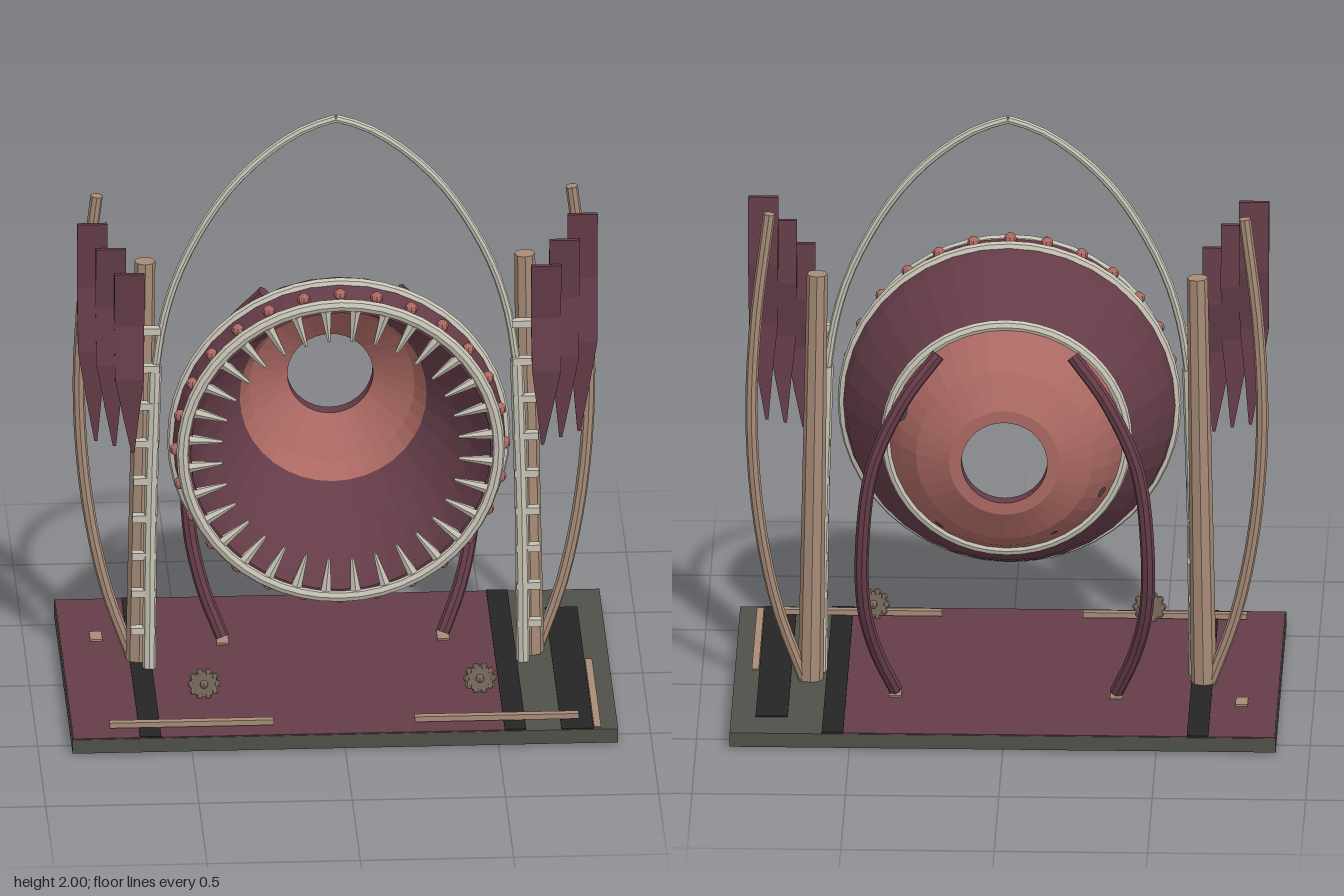
import * as THREE from 'three';

const mat = (name, color) => new THREE.MeshStandardMaterial({ name, color, flatShading: true, side: THREE.DoubleSide });
const M = {
  maroon: mat('maroon', 0x643c48),
  coral: mat('coral', 0xab6862),
  silver: mat('silver', 0xc6c2b5),
  tan: mat('tan', 0xa68b77),
  grey: mat('stone grey', 0x50504a),
  black: mat('black', 0x252525),
  bronze: mat('bronze', 0x7b6c5e),
};
const V = (p) => new THREE.Vector3(...p);

export function createModel() {
  const model = new THREE.Group();
  model.name = 'model';
  const add = (name, geo, material, pos = [0, 0, 0], parent = model) => {
    const mesh = new THREE.Mesh(geo, material);
    mesh.name = name;
    mesh.position.set(...pos);
    parent.add(mesh);
    return mesh;
  };
  // box given by its limits on each axis
  const slab = (name, material, x0, x1, y0, y1, z0, z1, parent) =>
    add(name, new THREE.BoxGeometry(x1 - x0, y1 - y0, z1 - z0), material,
      [(x0 + x1) / 2, (y0 + y1) / 2, (z0 + z1) / 2], parent);
  const tube = (name, material, pts, r, segs = 16, sides = 8) => {
    const curve = new THREE.CatmullRomCurve3(pts.map(V));
    add(name, new THREE.TubeGeometry(curve, segs, r, sides), material);
    // end caps
    for (const t of [0, 1]) {
      const cap = add(name + 'Cap', new THREE.CircleGeometry(r, sides), material, curve.getPoint(t).toArray());
      cap.lookAt(cap.position.clone().add(curve.getTangent(t)));
    }
  };

  // base plate with painted floor panels and skids below
  slab('base', M.grey, -0.89, 0.89, 0.005, 0.053, -0.58, 0.58);
  slab('floorPanel', M.maroon, -0.887, 0.52, 0.05, 0.056, -0.577, 0.577);
  slab('floorStripe', M.black, -0.67, -0.60, 0.052, 0.059, -0.577, 0.577);
  slab('floorStripe', M.black, 0.52, 0.59, 0.052, 0.059, -0.577, 0.577);
  slab('floorStripe', M.black, 0.705, 0.81, 0.05, 0.056, -0.43, 0.577);
  slab('floorTrim', M.tan, 0.812, 0.835, 0.05, 0.056, 0.0, 0.565);
  for (const [x, z] of [[-0.77, -0.26], [-0.36, -0.21], [0.36, -0.21]])
    slab('floorPlate', M.tan, x - 0.02, x + 0.02, 0.055, 0.062, z - 0.035, z + 0.035);

  // round vessel, turned about the z axis
  const vessel = new THREE.Group();
  vessel.name = 'vessel';
  vessel.position.y = 0.935;
  model.add(vessel);
  const turned = (name, material, pts) => {
    const geo = new THREE.LatheGeometry(pts.map(([r, z]) => new THREE.Vector2(r, z)), 36);
    geo.rotateX(Math.PI / 2);
    add(name, geo, material, [0, 0, 0], vessel);
  };
  turned('outerShell', M.maroon, [[0.385, -0.17], [0.44, -0.08], [0.49, 0.0], [0.53, 0.09], [0.545, 0.165], [0.525, 0.29], [0.49, 0.295]]);
  turned('innerShell', M.maroon, [[0.49, 0.295], [0.475, 0.2], [0.44, 0.08], [0.38, -0.05], [0.305, -0.17]]);
  turned('outerBack', M.coral, [[0.385, -0.17], [0.345, -0.25], [0.29, -0.33], [0.18, -0.4], [0.14, -0.4]]);
  turned('innerBack', M.coral, [[0.305, -0.17], [0.27, -0.25], [0.14, -0.35]]);
  turned('backHole', M.maroon, [[0.14, -0.35], [0.14, -0.4]]);
  for (const [r, z, t] of [[0.515, 0.288, 0.021], [0.54, 0.165, 0.02], [0.39, -0.165, 0.02]])
    add('ring', new THREE.TorusGeometry(r, t, 8, 48), M.silver, [0, 0, z], vessel);

  // inward teeth around the mouth
  const tooth = new THREE.CylinderGeometry(0.006, 0.019, 0.11, 6);
  for (let i = 0; i < 32; i++) {
    const a = ((i + 0.5) / 32) * Math.PI * 2;
    const m = add('tooth', tooth, M.silver, [0.442 * Math.cos(a), 0.442 * Math.sin(a), 0.285], vessel);
    m.rotation.z = a + Math.PI / 2;
  }
  // beads behind the front ring
  const bead = new THREE.SphereGeometry(0.021, 8, 6);
  for (let i = 0; i < 28; i++) {
    const a = (i / 28) * Math.PI * 2;
    add('bead', bead, M.coral, [0.535 * Math.cos(a), 0.535 * Math.sin(a), 0.25], vessel);
  }
  // worn patches on the back shell
  for (const [a, r, z, s] of [[0.33, 0.356, -0.23, 0.038], [-0.9, 0.345, -0.25, 0.018], [3.6, 0.345, -0.25, 0.02], [4.2, 0.32, -0.29, 0.014]]) {
    const p = add('wornPatch', new THREE.CircleGeometry(s, 9), M.grey, [(r + 0.004) * Math.cos(a), (r + 0.004) * Math.sin(a), z], vessel);
    p.lookAt(p.getWorldPosition(new THREE.Vector3()).add(V([Math.cos(a), Math.sin(a), -0.58])));
  }

  // pointed arch over the vessel
  const arc = [[0.59, 1.1], [0.565, 1.27], [0.52, 1.43], [0.44, 1.6], [0.34, 1.75], [0.22, 1.87], [0.1, 1.95], [0, 1.985]];
  for (const s of [-1, 1]) {
    tube('arch', M.silver, arc.map(([x, y]) => [s * x, y, -0.01]), 0.014, 18);
    tube('archLeg', M.silver, [[s * 0.61, 0.055, 0], [s * 0.605, 0.6, 0], [s * 0.59, 1.12, -0.008]], 0.022, 8);

    // post with rungs
    const post = add('post', new THREE.CylinderGeometry(0.034, 0.042, 1.41, 8), M.tan, [s * 0.63, 0.76, -0.075]);
    post.rotation.z = s * 0.015;
    for (let i = 0; i < 9; i++)
      add('rung', new THREE.BoxGeometry(0.08, 0.024, 0.03), M.silver, [s * (0.63 - i * 0.002), 0.19 + i * 0.1325, 0]);

    // bowed outer rod
    tube('bowedRod', M.tan, [[0.66, 0.055, -0.085], [0.745, 0.3, -0.1], [0.805, 0.6, -0.115], [0.832, 0.95, -0.125],
      [0.82, 1.3, -0.12], [0.775, 1.685, -0.11]].map(([x, y, z]) => [s * x, y, z]), 0.02, 20);

    // rear hose
    tube('hose', M.maroon, [[0.22, 1.26, -0.27], [0.33, 1.12, -0.32], [0.43, 0.9, -0.345], [0.465, 0.62, -0.35],
      [0.46, 0.4, -0.325], [0.42, 0.22, -0.265], [0.36, 0.07, -0.21]].map(([x, y, z]) => [s * x, y, z]), 0.023, 24);

    // three bent hanging blades; rows are width, height fraction, z, x shift
    const rows = [[0.098, 1, 0.1, 0], [0.098, 0.7, 0.082, 0], [0.094, 0.42, 0.112, 0], [0.05, 0.2, 0.1, -0.005], [0.01, 0, 0.09, -0.012]];
    for (const [k, [x, top, bottom]] of [[0.8, 1.67, 0.9], [0.74, 1.585, 0.885], [0.68, 1.5, 0.865]].entries()) {
      const geo = new THREE.BoxGeometry(1, 1, 0.016, 1, 4, 1);
      const p = geo.attributes.position;
      for (let i = 0; i < p.count; i++) {
        const [w, f, z, dx] = rows[Math.round((0.5 - p.getY(i)) * 4)];
        p.setXYZ(i, s * (x + dx) + p.getX(i) * w, bottom + (top - bottom) * f, z + p.getZ(i) + (k - 1) * 0.012);
      }
      geo.computeVertexNormals();
      add('blade', geo, M.maroon);
    }

    // floor bar and rosette
    slab('floorBar', M.tan, Math.min(s * 0.23, s * 0.765), Math.max(s * 0.23, s * 0.765), 0.062, 0.08, 0.485, 0.51);
    const rosette = new THREE.Group();
    rosette.name = 'rosette';
    rosette.position.set(s * 0.45, 0.15, 0.362);
    model.add(rosette);
    add('rosetteDisc', new THREE.CylinderGeometry(0.045, 0.045, 0.012, 12).rotateX(Math.PI / 2), M.bronze, [0, 0, 0], rosette);
    add('rosetteHub', new THREE.SphereGeometry(0.016, 8, 6), M.bronze, [0, 0, 0], rosette);
    for (let i = 0; i < 10; i++) {
      const a = (i / 10) * Math.PI * 2;
      add('petal', new THREE.SphereGeometry(0.013, 6, 5).scale(1, 1, 0.7), M.bronze, [0.043 * Math.cos(a), 0.043 * Math.sin(a), 0], rosette);
    }
  }

  // skids under the base
  for (const s of [-1, 1])
    add('skid', new THREE.BoxGeometry(0.11, 0.006, 0.86), M.black, [s * 0.757, 0.003, 0]);
  return model;
}
